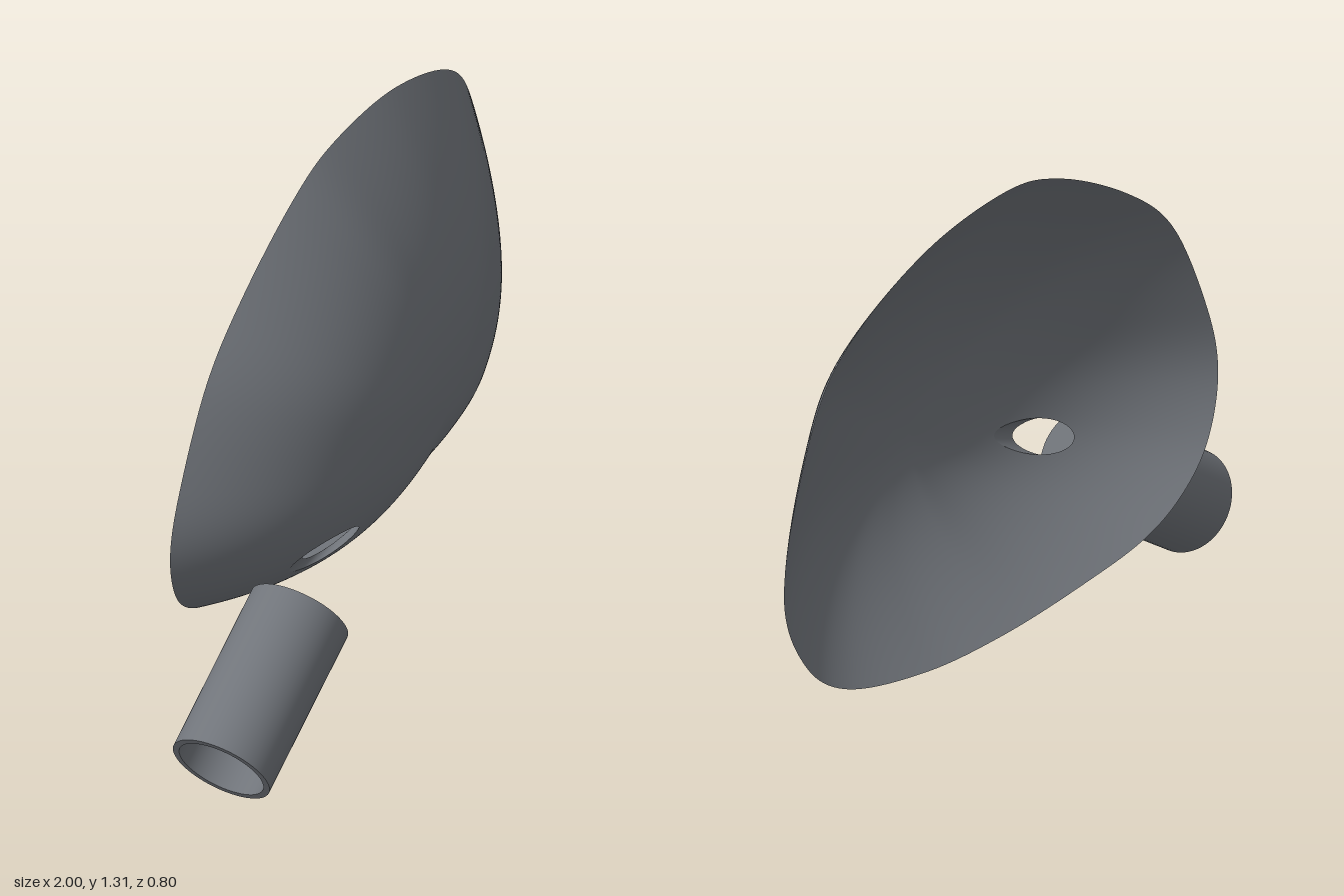
import * as THREE from 'three';
import { toCreasedNormals } from 'three/addons/utils/BufferGeometryUtils.js';

// Rim outline seen from the front, clockwise from the top
const RIM = new THREE.CatmullRomCurve3([
  [0.03, 1.305], [0.385, 1.25], [0.73, 1.09], [0.89, 0.877], [1, 0.567], [0.93, 0.364],
  [0.76, 0.246], [0.44, 0.187], [0.12, 0.18], [-0.2, 0.203], [-0.47, 0.24], [-0.64, 0.31],
  [-0.75, 0.417], [-0.8, 0.577], [-0.765, 0.754], [-0.647, 0.995], [-0.47, 1.14], [-0.2, 1.267],
].map(([x, y]) => new THREE.Vector3(x, y, 0)), true, 'catmullrom', 0.5);
const CX = 0.1, CY = 0.6;

// Point on the bowl: u runs round the rim, r from the crown (0) to the rim (1)
function bowlPoint(u, r, depth) {
  const rim = RIM.getPoint(((u % 1) + 1) % 1);
  const dx = rim.x - CX, dy = rim.y - CY;
  const toRight = Math.max(0, -dx / Math.hypot(dx, dy));
  const power = 2.1 + 0.9 * toRight * toRight;
  const x = CX + dx * r, y = CY + dy * r;
  const rimPlane = -0.178 - 0.222 * x + 0.07 * (y - 0.6);
  return [x, y, rimPlane + depth * (1 - Math.pow(r, power))];
}

function makeGeometry(positions, index) {
  const g = new THREE.BufferGeometry();
  g.setAttribute('position', new THREE.Float32BufferAttribute(positions, 3));
  g.setIndex(index);
  g.computeVertexNormals();
  return g;
}

// Bowl skin with an oval hole; grid points inside the hole snap to its edge
function bowlSkin(depth, hole, outward) {
  const U = 216, R = 48, pos = [], index = [], inside = [];
  for (let i = 0; i <= R; i++) {
    for (let j = 0; j < U; j++) {
      let u = j / U, r = i / R;
      const a = (u - hole.u) / hole.du, b = (r - hole.r) / hole.dr;
      const e = Math.hypot(a, b);
      inside.push(e < 1);
      if (e < 1 && e > 1e-6) {
        u = hole.u + (a / e) * hole.du;
        r = hole.r + (b / e) * hole.dr;
      }
      pos.push(...bowlPoint(u, r, depth));
    }
  }
  const tri = (a, b, c) => {
    if (inside[a] && inside[b] && inside[c]) return;
    index.push(...(outward ? [a, c, b] : [a, b, c]));
  };
  for (let i = 0; i < R; i++) {
    for (let j = 0; j < U; j++) {
      const k = (j + 1) % U;
      const a = i * U + j, b = a + U, c = (i + 1) * U + k, d = i * U + k;
      tri(a, b, c);
      if (i > 0) tri(a, c, d);
    }
  }
  return makeGeometry(pos, index);
}

// Wall of the hole, joining the two skins
function holeWall(outer, inner, outerDepth, innerDepth) {
  const N = 48, pos = [], index = [];
  for (let j = 0; j < N; j++) {
    const t = (j / N) * Math.PI * 2;
    for (const [h, d] of [[outer, outerDepth], [inner, innerDepth]]) {
      pos.push(...bowlPoint(h.u + Math.cos(t) * h.du, h.r + Math.sin(t) * h.dr, d));
    }
    const a = j * 2, b = ((j + 1) % N) * 2;
    index.push(a, a + 1, b, b, a + 1, b + 1);
  }
  return makeGeometry(pos, index);
}

export function createModel() {
  const model = new THREE.Group();
  model.name = 'mirrorHousing';
  const grey = new THREE.MeshStandardMaterial({ color: 0x70747a, side: THREE.DoubleSide });
  grey.name = 'slate grey';
  const add = (name, geometry) => {
    const mesh = new THREE.Mesh(geometry, grey);
    mesh.name = name;
    model.add(mesh);
    return mesh;
  };

  // Thin bowl, open at the back
  const outerDepth = 0.37, innerDepth = 0.34;
  const outerHole = { u: 0.639, du: 0.031, r: 0.62, dr: 0.12 };
  const innerHole = { u: 0.639, du: 0.032, r: 0.54, dr: 0.14 };
  add('outerShell', bowlSkin(outerDepth, outerHole, true));
  add('innerShell', bowlSkin(innerDepth, innerHole, false));
  add('cableHoleWall', holeWall(outerHole, innerHole, outerDepth, innerDepth));

  // Hollow mounting tube with a narrow bore at the shell end
  const start = new THREE.Vector3(-0.933, 0.113, 0.26);
  const end = new THREE.Vector3(-0.537, 0.345, 0.2);
  const axis = end.clone().sub(start);
  const L = axis.length();
  const profile = [
    [0.115, 0], [0.132, 0], [0.132, L], [0.057, L], [0.057, L - 0.1], [0.115, L - 0.1], [0.115, 0],
  ].map(([x, y]) => new THREE.Vector2(x, y));
  const tube = add('mountingTube', toCreasedNormals(new THREE.LatheGeometry(profile, 64), 0.6));
  tube.position.copy(start);
  tube.quaternion.setFromUnitVectors(new THREE.Vector3(0, 1, 0), axis.normalize());

  return model;
}
